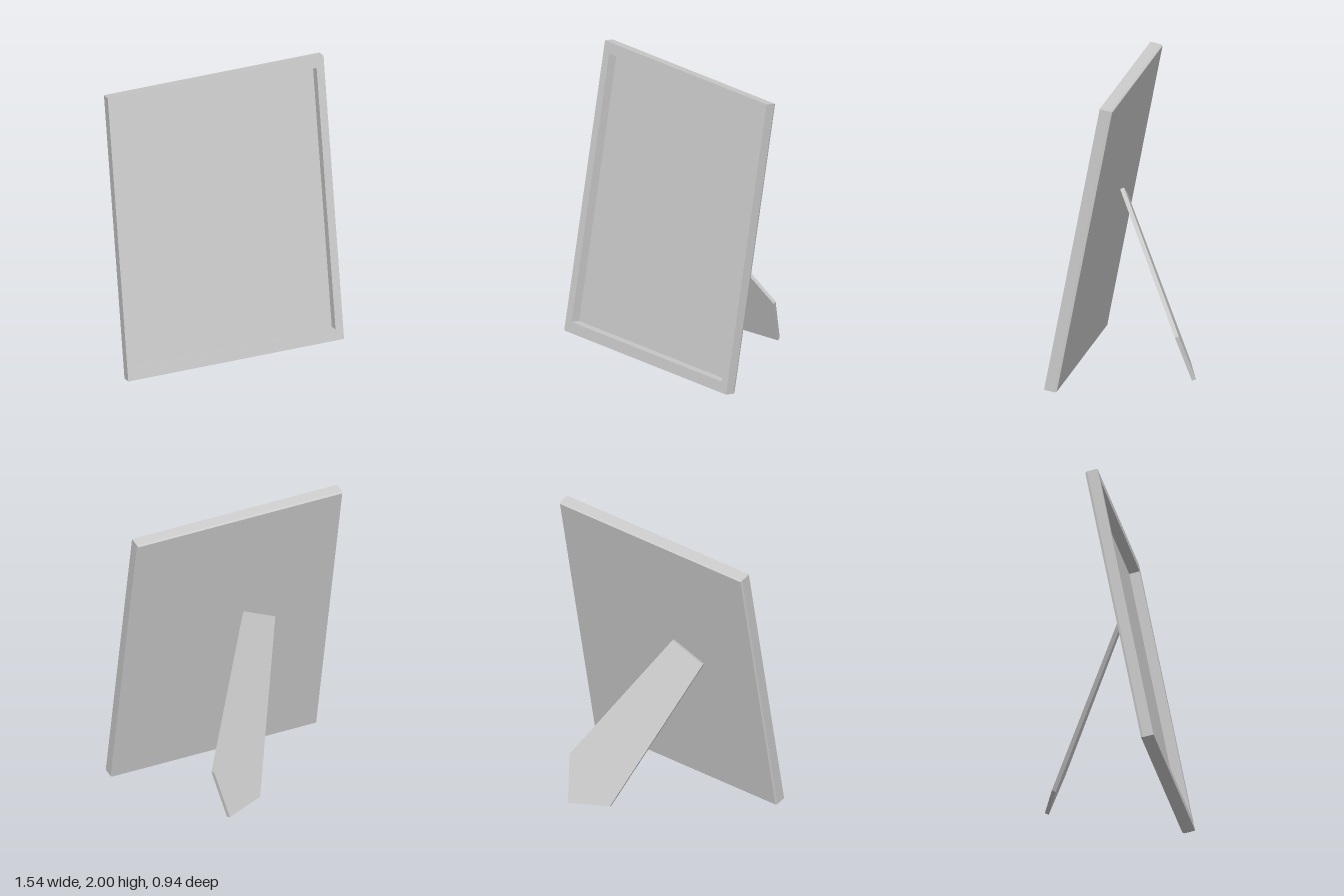
import * as THREE from 'three';

const W = 1.54, H = 2.02;      // frame outline
const RAIL_X = 0.055, RAIL_Y = 0.075;
const BACK = 0.014, DEPTH = 0.072; // backing thickness, recess depth
const BEVEL = 0.006;

const material = new THREE.MeshStandardMaterial({ color: 0xcccccc });

function part(name, geometry) {
  const mesh = new THREE.Mesh(geometry, material);
  mesh.name = name;
  return mesh;
}

// Trace a closed outline from [x, y] points
const outline = (Type, pts) => new Type(pts.map(([x, y]) => new THREE.Vector2(x, y)));
const rect = (x, y0, y1) => [[-x, y0], [x, y0], [x, y1], [-x, y1]];

function frameBorder() {
  const shape = outline(THREE.Shape, rect(W / 2, 0, H));
  shape.holes.push(outline(THREE.Path, rect(W / 2 - RAIL_X, RAIL_Y, H - RAIL_Y).reverse()));
  const g = new THREE.ExtrudeGeometry(shape, { depth: DEPTH, bevelEnabled: false });
  return g.translate(0, 0, BACK);
}

// Backing board, its rear edges drawn in for a slim chamfer
function backPanel() {
  const g = new THREE.BoxGeometry(W, H, BACK).toNonIndexed();
  const p = g.attributes.position;
  for (let i = 0; i < p.count; i++) {
    if (p.getZ(i) < 0) {
      p.setX(i, p.getX(i) - Math.sign(p.getX(i)) * BEVEL);
      p.setY(i, p.getY(i) - Math.sign(p.getY(i)) * BEVEL);
    }
  }
  g.computeVertexNormals();
  return g.translate(0, H / 2, BACK / 2);
}

// Flat strut, widening downwards, laid on a plane leaning back and sideways
function easelLeg() {
  const shape = outline(THREE.Shape, [
    [0.047, 0.05], [0.325, 0.018], [0.39, 0.33], [-0.10, 1.185], [-0.335, 1.07],
  ]);
  const g = new THREE.ExtrudeGeometry(shape, { depth: 0.028, bevelEnabled: false });
  const inward = new THREE.Vector3(0.307, -0.391, 1).normalize();
  const p = g.attributes.position;
  const v = new THREE.Vector3();
  for (let i = 0; i < p.count; i++) {
    const x = p.getX(i), y = p.getY(i);
    v.set(x, y, -0.374 - 0.307 * x + 0.391 * y).addScaledVector(inward, p.getZ(i));
    p.setXYZ(i, v.x, v.y, v.z);
  }
  g.computeVertexNormals();
  return g;
}

export function createModel() {
  const model = new THREE.Group();
  model.name = 'pictureFrame';

  // Leaning frame, pivoting on its lower rear edge
  const frame = new THREE.Group();
  frame.name = 'frame';
  frame.add(part('frameBorder', frameBorder()), part('backPanel', backPanel()));
  frame.position.z = 0.385;
  frame.rotation.x = -0.189;

  model.add(frame, part('easelLeg', easelLeg()));
  return model;
}
